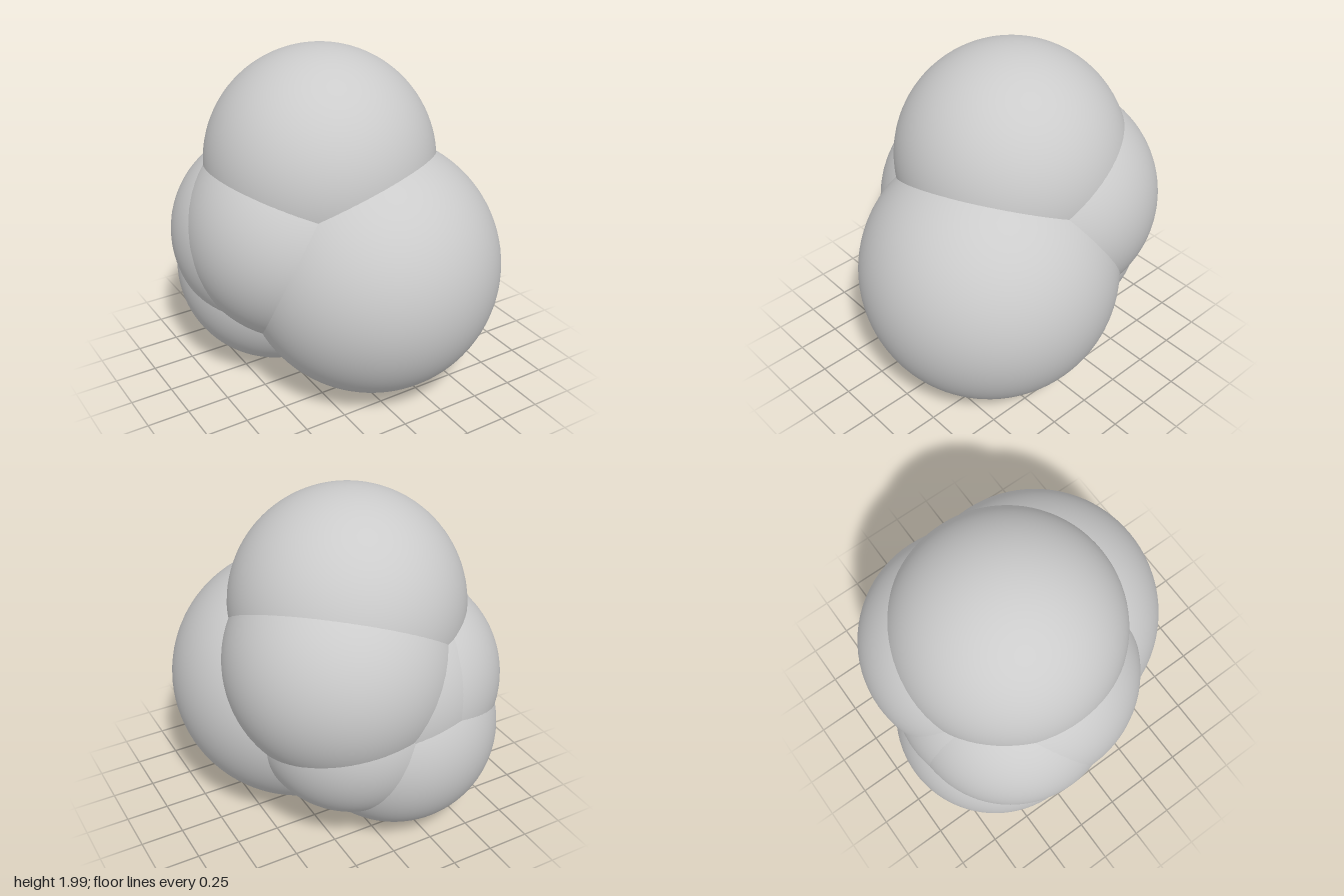
import * as THREE from 'three';

// Each lobe: name, centre x, y, z, radius
const LOBES = [
  ['frontLobe', 0.12, 0.76, 0.19, 0.75],
  ['topLobe', -0.035, 1.335, -0.12, 0.665],
  ['backLeftLobe', 0.1, 1.07, -0.27, 0.65],
  ['lowerBackLobe', -0.22, 0.62, -0.35, 0.595],
  ['lowerLeftLobe', 0.055, 0.74, -0.33, 0.555],
  ['frontRightLobe', -0.205, 0.955, -0.105, 0.65],
  ['backLobe', -0.17, 0.9, -0.27, 0.618],
  ['backRightLobe', -0.268, 0.89, -0.27, 0.602],
];

export function createModel() {
  const group = new THREE.Group();
  group.name = 'sphereCluster';
  const material = new THREE.MeshStandardMaterial({ color: 0xcccccc });

  // Smooth overlapping spheres form the cluster
  for (const [name, x, y, z, radius] of LOBES) {
    const lobe = new THREE.Mesh(new THREE.SphereGeometry(radius, 80, 56), material);
    lobe.name = name;
    lobe.position.set(x, y, z);
    group.add(lobe);
  }
  return group;
}
